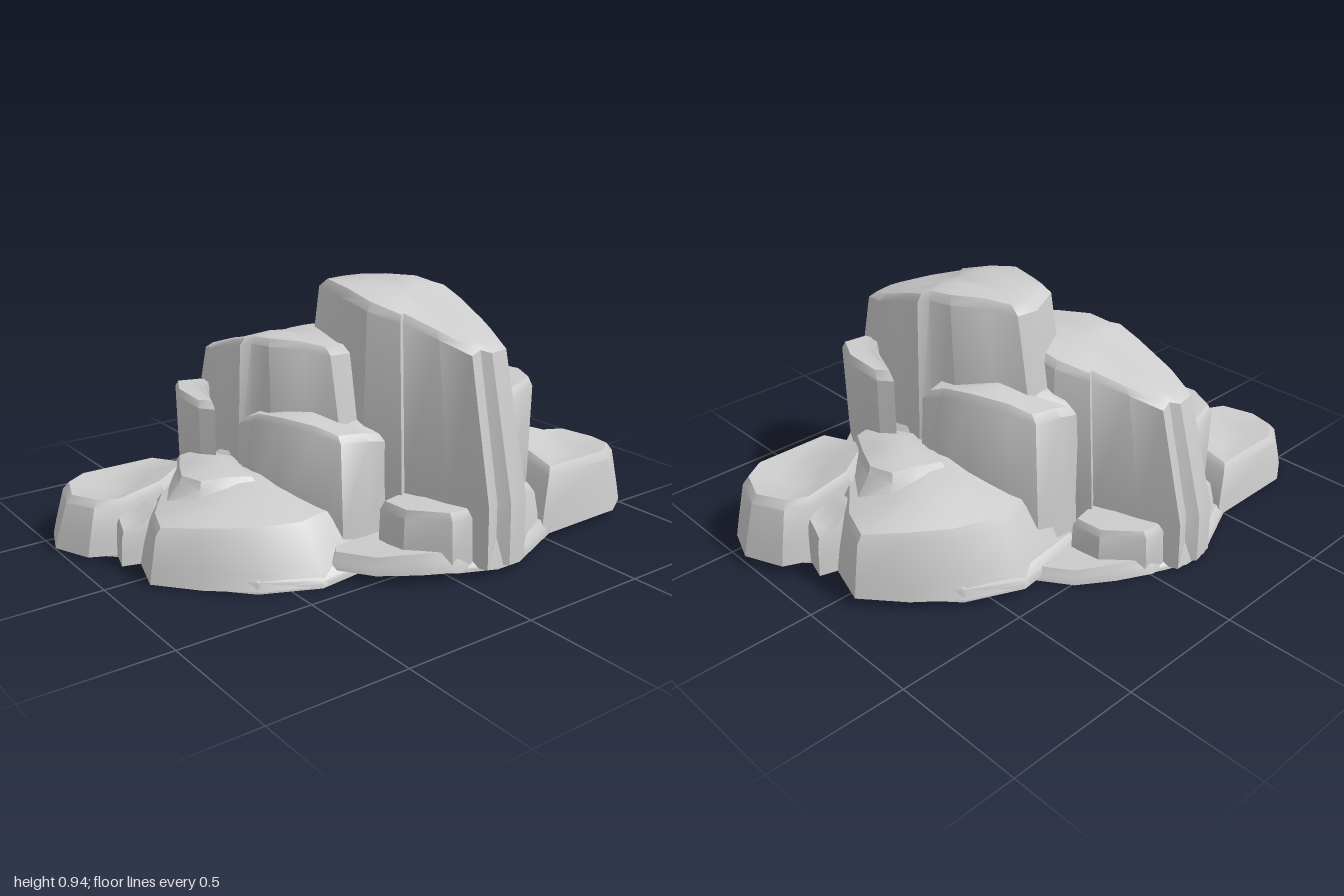
import * as THREE from 'three';
import { toCreasedNormals } from 'three/addons/utils/BufferGeometryUtils.js';

const material = new THREE.MeshStandardMaterial({ color: 0xcccccc, roughness: 0.9 });

// Lofts one boulder from its shoulder outline [x, z, y]: flared foot, knee,
// softened shoulder, domed crown. spread is the foot's scale in x and z; knee is
// the share of that flare kept at a third of the height.
function boulder(name, outline, { base = 0.04, spread = [1.1, 1.1], knee = 0.7, bump = 0.03, bevel = 0.9 } = {}) {
  let pts = outline;
  const n = pts.length;
  let area = 0, cx = 0, cz = 0, cy = 0;
  pts.forEach(([x, z, y], i) => {
    const [x2, z2] = pts[(i + 1) % n];
    const a = x * z2 - x2 * z;
    area += a;
    cx += (x + x2) * a;
    cz += (z + z2) * a;
    cy += y / n;
  });
  cx /= 3 * area;
  cz /= 3 * area;
  if (area > 0) pts = [...pts].reverse();

  const ring = (sx, sz, height) =>
    pts.map(([x, z, y]) => [cx + (x - cx) * sx, height(y), cz + (z - cz) * sz]);
  const [kneeX, kneeZ] = spread.map((s) => 1 + (s - 1) * knee);
  const rings = [
    ring(spread[0], spread[1], () => base),
    ring(kneeX, kneeZ, (y) => base + (y - base) * 0.3),
    ring(1, 1, (y) => y - 0.02),
    ring(bevel, bevel, (y) => y + 0.01),
    ring(bevel * 0.5, bevel * 0.5, (y) => y * 0.7 + cy * 0.3 + bump * 0.7),
  ];
  const pos = [];
  const tri = (a, b, c) => pos.push(...a, ...b, ...c);
  for (let i = 0; i < n; i++) {
    const j = (i + 1) % n;
    for (let k = 0; k < rings.length - 1; k++) {
      const lo = rings[k], hi = rings[k + 1];
      tri(lo[i], lo[j], hi[j]);
      tri(lo[i], hi[j], hi[i]);
    }
    const crown = rings[rings.length - 1];
    tri([cx, cy + bump, cz], crown[i], crown[j]);
    tri([cx, base, cz], rings[0][j], rings[0][i]);
  }
  const geometry = new THREE.BufferGeometry();
  geometry.setAttribute('position', new THREE.Float32BufferAttribute(pos, 3));
  const mesh = new THREE.Mesh(toCreasedNormals(geometry, 0.65), material);
  mesh.name = name;
  return mesh;
}

// One outcrop: a tall ridge stepping down to low ledges on its left
function outcrop(name) {
  const group = new THREE.Group();
  group.name = name;
  group.add(
    // Tall ridge, notched by cracks
    boulder('ridge', [
      [0.09, -0.16, 0.92], [-0.04, -0.1, 0.93], [-0.06, -0.03, 0.93], [-0.09, 0.1, 0.93],
      [-0.08, 0.24, 0.9], [-0.03, 0.36, 0.87], [-0.01, 0.35, 0.87], [0.04, 0.48, 0.83],
      [0.09, 0.59, 0.79], [0.14, 0.575, 0.8], [0.17, 0.6, 0.79], [0.25, 0.585, 0.79],
      [0.3, 0.45, 0.83], [0.32, 0.3, 0.88], [0.33, 0.19, 0.91], [0.3, 0.16, 0.92],
      [0.29, 0.06, 0.93], [0.22, -0.05, 0.93], [0.17, -0.15, 0.92],
    ], { spread: [1.13, 1.31], knee: 0.96, bump: 0.045 }),
    // Sloping foot under the ridge's front
    boulder('ridgeFoot', [
      [0.1, 0.66, 0.26], [0.17, 0.66, 0.28], [0.24, 0.66, 0.31], [0.46, 0.55, 0.21],
      [0.48, 0.35, 0.28], [0.3, 0.2, 0.4], [0.06, 0.4, 0.36],
    ], { spread: [1.08, 1.22], bump: 0.02 }),
    // Middle column behind the ridge
    boulder('middleColumn', [
      [0.06, -0.33, 0.57], [0.14, -0.33, 0.59], [0.25, -0.32, 0.6], [0.3, -0.24, 0.63],
      [0.36, -0.1, 0.64], [0.39, 0.02, 0.63], [0.39, 0.11, 0.59], [0.3, 0.13, 0.6],
      [0.15, 0.1, 0.63], [0.02, -0.2, 0.62],
    ], { spread: [1.08, 1.1], bump: 0.035 }),
    // Upright shard at the front, narrowing downward
    boulder('shard', [
      [0.42, 0.23, 0.62], [0.46, 0.28, 0.62], [0.46, 0.45, 0.63], [0.4, 0.57, 0.63],
      [0.27, 0.6, 0.61], [0.26, 0.52, 0.62], [0.36, 0.4, 0.64],
    ], { base: 0.13, spread: [0.85, 0.85], knee: 0.3, bump: 0.02, bevel: 0.85 }),
    // Wide side ledge rising to a rounded mound
    boulder('sideLedge', [
      [0.2, -0.3, 0.26], [0.29, -0.3, 0.27], [0.4, -0.33, 0.27], [0.58, -0.27, 0.27],
      [0.72, -0.17, 0.27], [0.83, -0.06, 0.26], [0.78, 0.08, 0.26], [0.66, 0.24, 0.28],
      [0.4, 0.3, 0.34], [0.2, 0.0, 0.34],
    ], { spread: [1.1, 1.32], bump: 0.08, bevel: 0.94 }),
    boulder('sideMound', [
      [0.42, -0.05, 0.37], [0.52, -0.02, 0.38], [0.61, 0.02, 0.37], [0.64, 0.12, 0.37],
      [0.58, 0.25, 0.36], [0.51, 0.38, 0.35], [0.42, 0.4, 0.35], [0.36, 0.2, 0.37],
    ], { base: 0.24, spread: [1.6, 1.35], bump: 0.04 }),
    // Small wedge between the ledge and the end lobe
    boulder('wedge', [
      [0.8, 0.1, 0.2], [0.87, 0.12, 0.18], [0.84, 0.22, 0.2], [0.7, 0.26, 0.26], [0.7, 0.1, 0.26],
    ], { spread: [1.08, 1.08], bump: 0.01 }),
    // Low lobe at the end
    boulder('endLobe', [
      [0.5, 0.58, 0.27], [0.82, 0.58, 0.27], [0.91, 0.52, 0.27], [0.95, 0.4, 0.26],
      [0.9, 0.27, 0.27], [0.82, 0.23, 0.27], [0.66, 0.2, 0.32], [0.5, 0.3, 0.34],
    ], { spread: [1.22, 1.12], bump: -0.01 }),
    // Thin skirt and block on the other flank
    boulder('skirt', [
      [-0.33, 0.38, 0.09], [-0.24, 0.51, 0.09], [-0.12, 0.59, 0.1], [0, 0.65, 0.1],
      [0.08, 0.64, 0.1], [0.15, 0.3, 0.1], [-0.1, 0.1, 0.1],
    ], { spread: [1.04, 1.05], bump: 0.015, bevel: 0.95 }),
    boulder('skirtBlock', [
      [-0.14, 0.4, 0.24], [-0.13, 0.52, 0.24], [-0.02, 0.64, 0.24], [0.06, 0.65, 0.24], [0.1, 0.35, 0.24],
    ], { spread: [1.04, 1.04], bump: 0.015 }),
    // Underlying base slab
    boulder('baseSlab', [
      [-0.32, 0.37, 0.06], [0, 0.64, 0.06], [0.14, 0.7, 0.07], [0.24, 0.7, 0.08], [0.5, 0.59, 0.08],
      [0.84, 0.58, 0.09], [0.95, 0.5, 0.09], [0.95, 0.32, 0.09], [0.78, 0.15, 0.1], [0.84, -0.06, 0.1],
      [0.6, -0.33, 0.1], [0.4, -0.42, 0.08], [0.1, -0.38, 0.08], [-0.1, -0.1, 0.06],
    ], { base: 0.03, spread: [1.01, 1.01], bump: 0.01, bevel: 0.96 }),
  );
  return group;
}

export function createModel() {
  const model = new THREE.Group();
  model.name = 'rockFormation';
  const tall = outcrop('tallOutcrop');
  // The same outcrop, turned about and lower
  const low = outcrop('lowOutcrop');
  low.rotation.y = Math.PI;
  low.scale.y = 0.82;
  low.position.y = -0.02;
  model.add(tall, low);
  return model;
}
